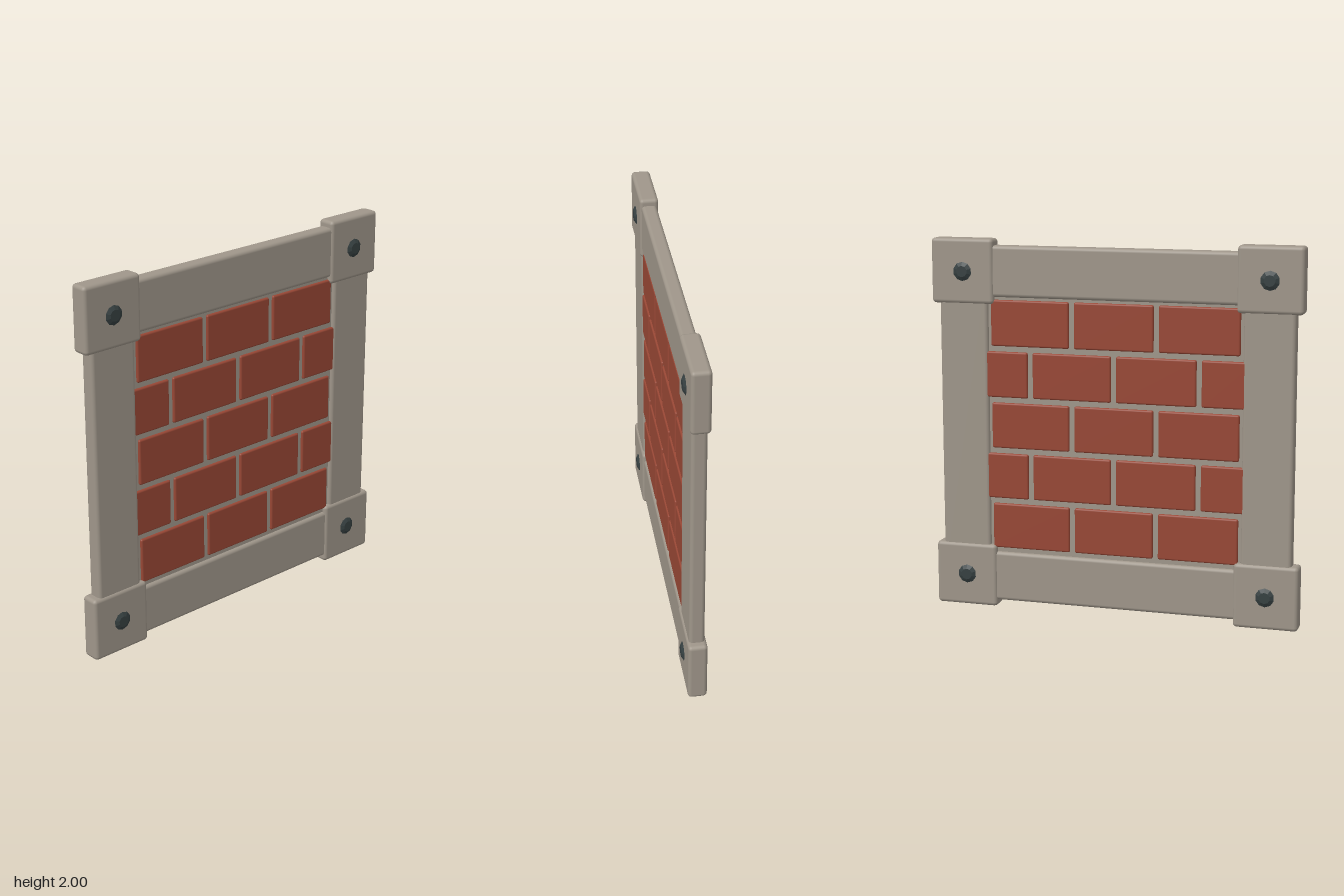
import * as THREE from 'three';
import { RoundedBoxGeometry } from 'three/addons/geometries/RoundedBoxGeometry.js';

export function createModel() {
  const model = new THREE.Group();
  model.name = 'brickWallPanel';

  const material = (name, color) => {
    const m = new THREE.MeshStandardMaterial({ color });
    m.name = name;
    return m;
  };
  const stone = material('stone', 0x9f968a);
  const brick = material('brick', 0x984735);
  const iron = material('iron', 0x364041);

  const add = (name, geometry, mat, x, y) => {
    const mesh = new THREE.Mesh(geometry, mat);
    mesh.name = name;
    mesh.position.set(x, y, 0);
    model.add(mesh);
    return mesh;
  };
  const block = (name, w, h, d, bevel, mat, x, y) =>
    add(name, new RoundedBoxGeometry(w, h, d, 2, bevel), mat, x, y);

  // Mortar sheet behind the bricks
  add('mortar', new THREE.BoxGeometry(1.5, 1.5, 0.044), stone, 0, 1.0);

  // Frame beams
  for (const side of [1, -1]) {
    block(side > 0 ? 'leftPost' : 'rightPost', 0.27, 1.5, 0.08, 0.02, stone, side * 0.825, 1);
    block(side > 0 ? 'topBeam' : 'bottomBeam', 1.5, 0.272, 0.08, 0.02, stone, 0, 1 + side * 0.829);
  }

  // Chamfered bolt passing through each corner, faceted
  const boltProfile = [[0, -0.062], [0.03, -0.062], [0.051, -0.05], [0.051, 0.05], [0.03, 0.062], [0, 0.062]]
    .map(([r, y]) => new THREE.Vector2(r, y));
  const boltGeometry = new THREE.LatheGeometry(boltProfile, 10).toNonIndexed();
  boltGeometry.rotateX(Math.PI / 2);
  boltGeometry.computeVertexNormals();

  // Corner blocks and bolts
  for (const sx of [1, -1]) {
    for (const sy of [1, -1]) {
      block('cornerBlock', 0.345, 0.345, 0.1, 0.02, stone, sx * 0.8275, 1 + sy * 0.8275);
      add('bolt', boltGeometry, iron, sx * 0.825, 1 + sy * 0.826);
    }
  }

  // Running-bond courses; the end half bricks run into the posts
  const pitch = 0.459, width = 0.431, height = 0.246;
  for (let row = 0; row < 5; row++) {
    const y = 1.005 + (row - 2) * 0.2755;
    if (row % 2 === 0) {
      for (const i of [-1, 0, 1]) block('brick', width, height, 0.07, 0.01, brick, i * pitch, y);
    } else {
      for (const side of [1, -1]) {
        block('brick', width, height, 0.07, 0.01, brick, side * pitch / 2, y);
        block('halfBrick', 0.27, height, 0.07, 0.01, brick, side * (0.473 + 0.135), y);
      }
    }
  }
  return model;
}
